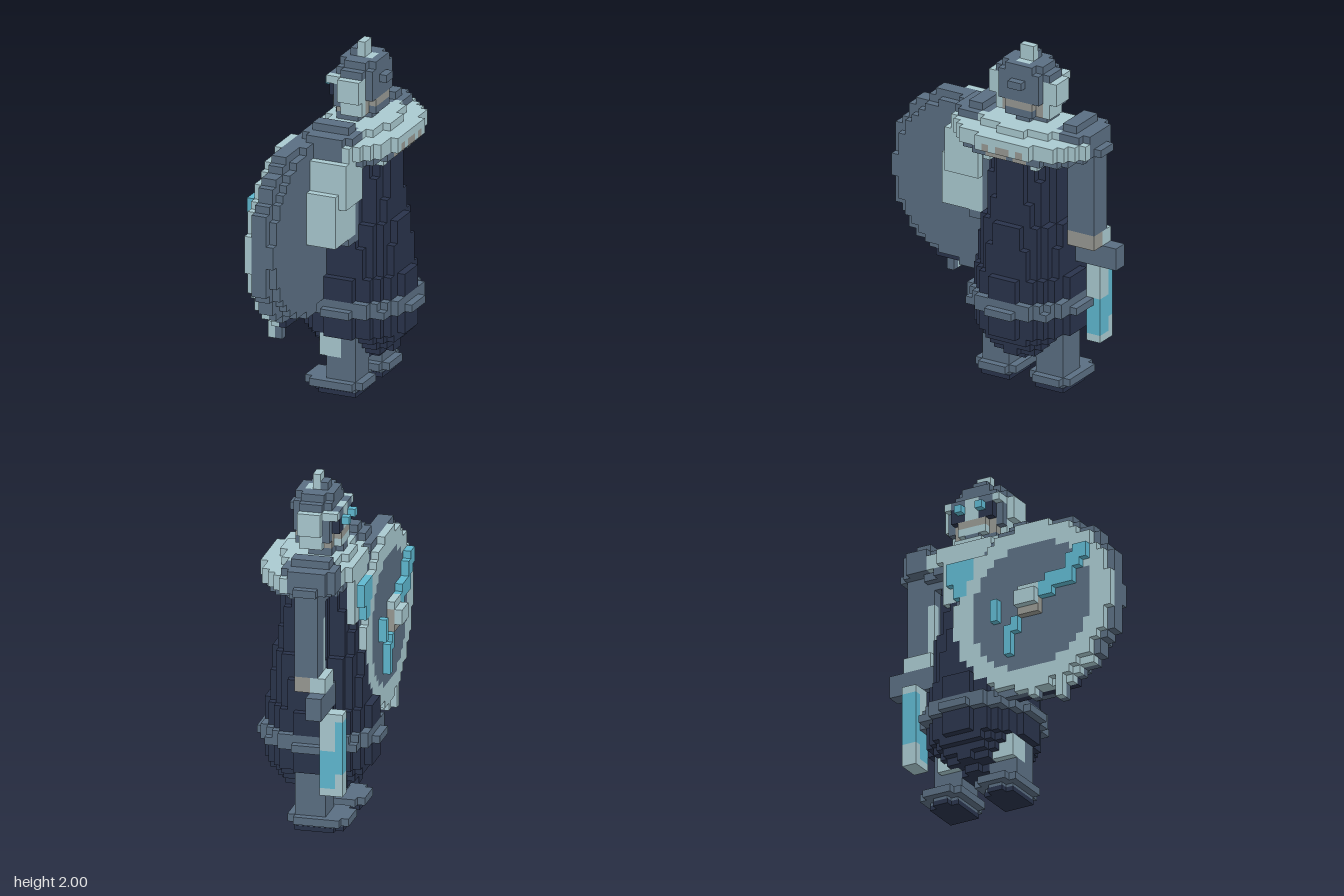
import * as THREE from 'three';

const U = 2 / 46; // edge of one cube

const mat = (name, color) => {
  const m = new THREE.MeshStandardMaterial({ color });
  m.name = name;
  return m;
};

export function createModel() {
  const slate = mat('slate', 0x5a6e82), pale = mat('pale', 0xa9c9d0), navy = mat('navy', 0x29334b);
  const glow = mat('glow', 0x5fb8d0), tan = mat('tan', 0x979993);
  const model = new THREE.Group();
  model.name = 'shieldBearer';

  // Cube grid: later parts replace earlier ones where they overlap
  const grid = new Map();
  const key = (x, y, z) => `${x},${y},${z}`;
  // Fill cells from a up to (not including) b that satisfy the test
  const fill = (part, m, a, b, test = () => true) => {
    for (let x = a[0]; x < b[0]; x++)
      for (let y = a[1]; y < b[1]; y++)
        for (let z = a[2]; z < b[2]; z++)
          if (test(x + 0.5, y + 0.5, z + 0.5)) grid.set(key(x, y, z), { part, m, p: [x, y, z] });
  };
  // Upright elliptical slab
  const slab = (part, m, y0, y1, cx, cz, rx, rz) =>
    fill(part, m, [-9, y0, -18], [9, y1, 18], (x, y, z) => ((x - cx) / rx) ** 2 + ((z - cz) / rz) ** 2 <= 1.03);
  // Disc facing sideways, flattened at its four ends, with an optional hole
  const disc = (part, m, x0, x1, r, hole = 0) =>
    fill(part, m, [x0, 12, -6], [x1, 35, 17], (x, y, z) => {
      const d = Math.hypot(y - 23.5, z - 5.5);
      return d <= r && d >= hole;
    });

  const C = -5; // the body's middle in z

  // Robe, as stacked rings: bottom, top, half depth, half width
  for (const [y0, y1, rx, rz] of [[4, 5, 3, 2.3], [5, 6, 4.6, 4], [6, 7, 5.3, 5], [7, 8, 6, 5.9], [8, 16, 6.8, 6.8],
    [16, 20, 6.2, 6], [20, 23, 5.7, 5.7], [23, 26, 5.2, 5], [26, 29, 5, 5], [29, 33, 4.8, 4.7]])
    slab('robe', navy, y0, y1, 0, C, rx, rz);

  // Legs and feet, with a thin sole under each
  for (const cz of [-1, -9]) {
    fill('leg', slate, [-2, 1, cz - 2], [2, 8, cz + 2]);
    fill('kneeGuard', pale, [-3, 5, cz - 1], [0, 8, cz + 2]);
    slab('foot', slate, 1, 2, -1, cz, 4.2, 3.2);
    for (const [x0, x1, w] of [[-3, 2, 4], [-4, -3, 2]]) {
      fill('foot', slate, [x0, 0, cz - w / 2], [x1, 1, cz + w / 2]);
      const sole = new THREE.Mesh(new THREE.BoxGeometry((x1 - x0) * U + 0.006, 0.027, w * U + 0.006), navy);
      sole.position.set(((x0 + x1) / 2) * U, 0.0115, cz * U);
      sole.name = 'sole';
      model.add(sole);
    }
  }

  // Belt
  slab('belt', slate, 12, 13, 0, C, 7.3, 7.4);
  slab('belt', slate, 11, 12, 0, C, 7.7, 7.7);

  // Arm with the blade
  fill('swordArm', slate, [-2, 22, -15], [1, 34, -11]);
  fill('shoulderJoint', slate, [-2, 33, -16], [1, 34, -10]);
  fill('armBrace', pale, [-2, 22, -12], [-1, 29, -11]);
  fill('wristBand', tan, [-1, 20, -15], [1, 22, -11]);
  fill('cuff', pale, [-3, 20, -15], [-1, 22, -11]);
  fill('swordGuard', slate, [-3, 17, -17], [-1, 20, -10]);
  fill('blade', pale, [-5, 6, -14], [-2, 17, -12]);
  fill('bladeGlow', glow, [-4, 7, -14], [-2, 12, -12]);
  fill('bladeGlow', glow, [-5, 9, -14], [-4, 16, -12]);

  // Arm with the shield
  fill('shieldArm', slate, [-2, 21, 0], [2, 34, 3]);
  fill('sleeve', pale, [-2, 22, 1], [2, 29, 7]);
  fill('sleeve', pale, [-2, 27, 1], [3, 33, 6]);
  fill('shieldGrip', slate, [-3, 23, 3], [-1, 26, 6]);

  // Shield: body, pale rim with end studs, boss, runes and drips
  disc('shield', slate, -5, -3, 12.2);
  disc('shield', slate, -3, -2, 11.1);
  fill('shieldUnderside', navy, [-4, 12, 1], [-3, 13, 11]);
  disc('shieldFace', slate, -6, -5, 8.8);
  disc('shieldRim', pale, -6, -5, 11.4, 8.8);
  fill('rimStud', pale, [-6, 22, 16], [-5, 25, 17]);
  fill('rimStud', pale, [-6, 22, -6], [-5, 25, -5]);
  fill('rimStud', pale, [-6, 34, 4], [-5, 35, 7]);
  fill('shieldRim', pale, [-5, 12, 6], [-4, 16, 14], (x, y, z) => {
    const d = Math.hypot(y - 23.5, z - 5.5);
    return d > 11 && d <= 12.2;
  });
  fill('shieldBoss', tan, [-7, 22, 4], [-6, 25, 7]);
  fill('shieldBoss', pale, [-7, 25, 4], [-6, 26, 7]);
  fill('shieldBoss', pale, [-8, 23, 4], [-7, 25, 7]);
  for (const [z, y0, y1] of [[7, 24, 26], [8, 24, 27], [9, 25, 27], [10, 25, 27], [11, 25, 29], [12, 27, 30],
    [13, 28, 30], [0, 22, 25], [2, 17, 21], [3, 20, 22]]) fill('shieldRune', glow, [-7, y0, z], [-6, y1, z + 1]);
  for (const [z, y] of [[9, 10], [5, 11]]) {
    fill('shieldDrip', pale, [-6, y, z], [-5, 13, z + 1]);
    fill('shieldDrip', slate, [-5, y, z], [-4, 12, z + 1]);
  }

  // Fur collar over the shoulders
  slab('collarLining', slate, 32, 33, 1, C, 5.2, 8.6);
  slab('collarLining', slate, 31, 32, 0.5, C, 3.6, 6.5);
  for (const z of [-8, -7, -5, -4, -3]) fill('collarTrim', tan, [5, 32, z], [6, 33, z + 1]);
  for (const z of [-9, -2]) fill('collarTassel', pale, [4, 31, z], [5, 33, z + 1]);
  slab('collar', pale, 33, 35, 1, C, 6, 10);
  for (const z of [-8, -6, -5, -3]) fill('collarTrim', tan, [6, 33, z], [7, 34, z + 1]);
  slab('collar', pale, 35, 36, 0.5, C, 4.2, 6.6);
  for (const side of [-1, 1]) {
    slab('shoulderPad', slate, 33, 36, -0.5, C + side * 7.5, 3.6, 2.9);
    slab('shoulderPad', slate, 36, 37, -0.5, C + side * 7, 2.4, 1.1);
  }
  slab('neck', slate, 34, 38, -0.5, C, 2.1, 3);

  // Glowing chest ornament
  fill('chestPlate', pale, [-5, 27, -8], [-4, 34, -2]);
  fill('chestOrnament', glow, [-6, 27, -7], [-5, 32, -3], (x, y, z) => y > 29 || Math.abs(z - C) < 1);

  // Head: jaw, dark face, helmet back, cheek guards, eyes
  slab('jaw', tan, 37, 39, 0, C, 3.2, 3.6);
  fill('neckGuard', slate, [2, 37, -7], [3, 38, -3]);
  fill('chin', pale, [-3, 37, -7], [-2, 38, -3]);
  slab('helmetBack', slate, 39, 42, 0, C, 3.3, 4);
  fill('face', navy, [-3, 39, -8], [-2, 41, -2]);
  for (const z of [-10, -1]) {
    const inner = z < C ? z + 1 : z - 1;
    fill('cheekGuard', pale, [-1, 39, z], [2, 42, z + 1]);
    fill('cheekGuard', pale, [-1, 37, inner], [2, 42, inner + 1]);
    fill('cheekGuard', pale, [-3, 41, inner], [-1, 42, inner + 1]);
    fill('cheekStrap', slate, [-2, 38, inner], [-1, 41, inner + 1]);
  }
  fill('noseGuard', pale, [-3, 39, -6], [-2, 42, -4]);
  for (const z of [-7, -4]) fill('eye', glow, [-4, 40, z], [-3, 41, z + 1]);

  // Helmet crown with knob
  fill('helmetStud', slate, [2, 41, -6], [4, 42, -4]);
  slab('helmet', slate, 42, 43, 0.5, C, 2.9, 4);
  slab('helmet', slate, 43, 44, 0.5, C, 2.7, 3.2);
  fill('helmet', slate, [-1, 44, -6], [1, 45, -4]);
  fill('helmetKnob', pale, [0, 44, -6], [1, 46, -4]);
  fill('helmetKnob', pale, [1, 43, -6], [2, 44, -4]);

  // Turn the cubes into one mesh per part and colour, keeping outer faces only
  const lists = new Map();
  for (const { part, m, p } of grid.values()) {
    const id = part + m.name;
    if (!lists.has(id)) lists.set(id, { part, m, pos: [] });
    const { pos } = lists.get(id);
    for (let a = 0; a < 3; a++)
      for (const s of [0, 1]) {
        const n = [...p];
        n[a] += s ? 1 : -1;
        if (grid.has(key(...n))) continue;
        const quad = [[0, 0], [1, 0], [1, 1], [0, 1]].map(([u, v]) => {
          const c = [...p];
          c[a] += s;
          c[(a + 1) % 3] += u;
          c[(a + 2) % 3] += v;
          return c.map((q) => q * U);
        });
        if (!s) quad.reverse();
        for (const q of [0, 1, 2, 0, 2, 3]) pos.push(...quad[q]);
      }
  }
  for (const { part, m, pos } of lists.values()) {
    if (!pos.length) continue;
    const g = new THREE.BufferGeometry();
    g.setAttribute('position', new THREE.Float32BufferAttribute(pos, 3));
    g.computeVertexNormals();
    const mesh = new THREE.Mesh(g, m);
    mesh.name = part;
    model.add(mesh);
  }
  return model;
}
